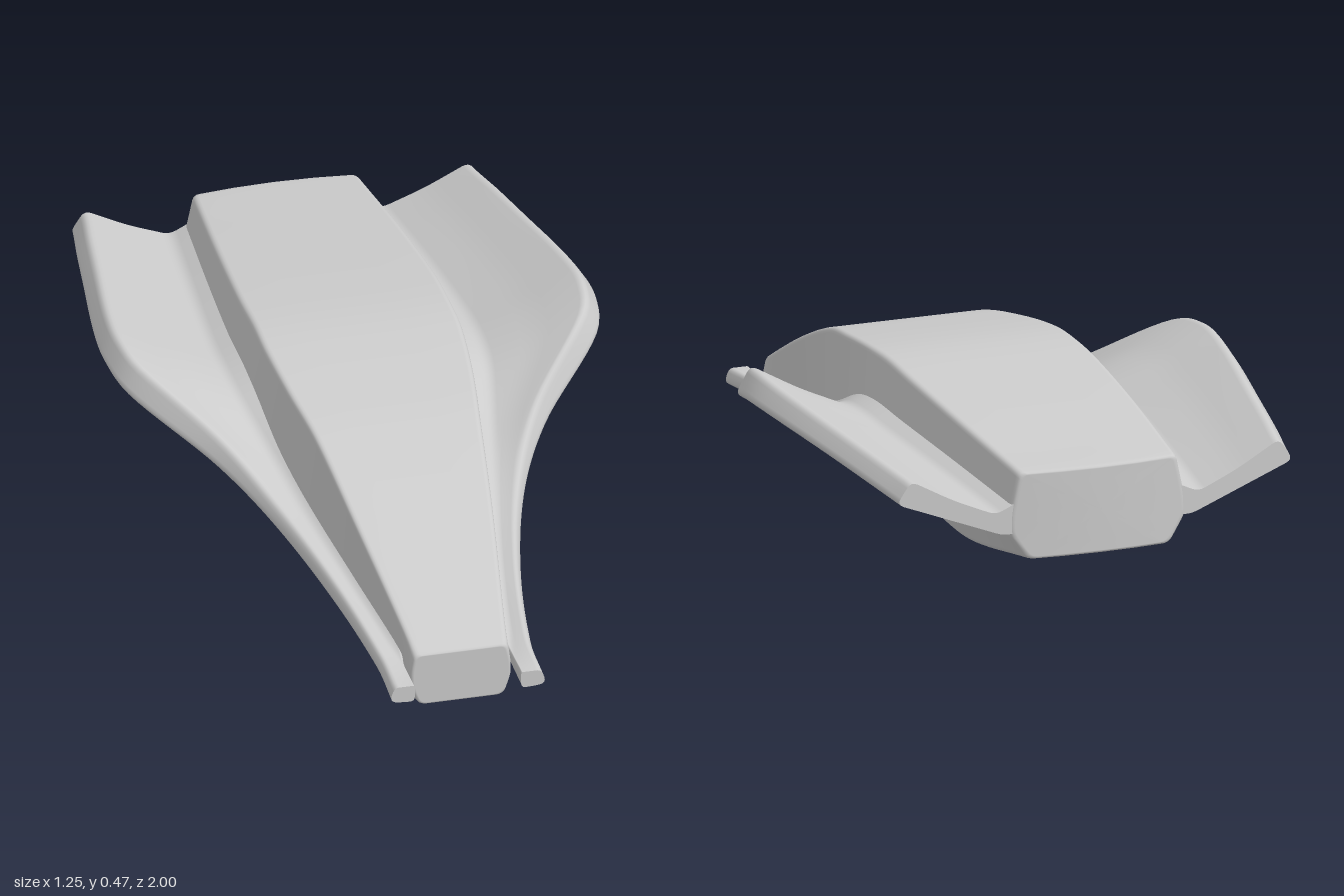
import * as THREE from 'three';

// Stations from nose to tail:
// z, wing outer x, outer top y, outer bottom y, root x, valley y, under-root y,
// body top half width, body top y, body bottom half width, body bottom y
const ROWS = [
  [1.0, 0.2, 0.1, 0.06, 0.135, 0.1, 0.055, 0.108, 0.11, 0.1, -0.01],
  [0.85, 0.202, 0.115, 0.075, 0.138, 0.1, 0.062, 0.13, 0.18, 0.12, 0.012],
  [0.55, 0.25, 0.165, 0.12, 0.185, 0.15, 0.105, 0.175, 0.31, 0.145, 0.058],
  [0.28, 0.33, 0.235, 0.187, 0.235, 0.21, 0.15, 0.21, 0.41, 0.17, 0.1],
  [0.1, 0.43, 0.325, 0.265, 0.265, 0.26, 0.19, 0.235, 0.445, 0.19, 0.128],
  [-0.08, 0.6, 0.45, 0.38, 0.285, 0.32, 0.235, 0.25, 0.468, 0.21, 0.147],
  [-0.2, 0.632, 0.475, 0.408, 0.29, 0.335, 0.25, 0.25, 0.472, 0.22, 0.15],
  [-0.35, 0.625, 0.467, 0.405, 0.288, 0.33, 0.25, 0.25, 0.462, 0.22, 0.145],
  [-0.65, 0.58, 0.432, 0.375, 0.268, 0.31, 0.24, 0.235, 0.43, 0.215, 0.122],
  [-0.98, 0.528, 0.392, 0.335, 0.24, 0.28, 0.23, 0.21, 0.388, 0.19, 0.163],
];

// Smooth interpolation of the station table at a given z
function station(z) {
  const last = ROWS.length - 1;
  let k = 0;
  while (k < last - 1 && z < ROWS[k + 1][0]) k++;
  const h = ROWS[k + 1][0] - ROWS[k][0];
  const t = THREE.MathUtils.clamp((z - ROWS[k][0]) / h, 0, 1);
  const slope = (j, c) => {
    const a = ROWS[Math.max(j - 1, 0)], b = ROWS[Math.min(j + 1, last)];
    return (b[c] - a[c]) / (b[0] - a[0]);
  };
  return ROWS[k].map((v, c) => {
    const w = ROWS[k + 1][c], t2 = t * t, t3 = t2 * t;
    return v * (2 * t3 - 3 * t2 + 1) + w * (3 * t2 - 2 * t3)
      + h * (slope(k, c) * (t3 - 2 * t2 + t) + slope(k + 1, c) * (t3 - t2));
  });
}

// Rounds each corner [x, y, radius] of a closed outline
function rounded(corners) {
  const n = corners.length, out = [];
  corners.forEach(([x, y, r], i) => {
    const p = new THREE.Vector2(x, y);
    const toward = (c) => {
      const d = new THREE.Vector2(c[0], c[1]).sub(p), len = d.length();
      return p.clone().addScaledVector(d, Math.min(r, len * 0.45) / len);
    };
    if (!r) return out.push(p);
    const curve = new THREE.QuadraticBezierCurve(
      toward(corners[(i + n - 1) % n]), p, toward(corners[(i + 1) % n]));
    out.push(...curve.getPoints(4));
  });
  return out;
}

// Skins a list of rings (counter-clockwise, nose to tail) and closes both ends
function loft(rings, side = 1) {
  const n = rings[0].length, pos = [], index = [];
  const add = (p) => pos.push(p.x * side, p.y, p.z);
  const tri = (a, b, c) => (side > 0 ? index.push(a, b, c) : index.push(a, c, b));
  rings.forEach((ring) => ring.forEach(add));
  for (let k = 0; k < rings.length - 1; k++) {
    for (let i = 0; i < n; i++) {
      const a = k * n + i, b = k * n + (i + 1) % n;
      tri(a, a + n, b);
      tri(b, a + n, b + n);
    }
  }
  [rings[0], rings[rings.length - 1]].forEach((ring, end) => {
    const base = pos.length / 3;
    ring.forEach(add);
    const outline = ring.map((p) => new THREE.Vector2(p.x, p.y));
    for (const [a, b, c] of THREE.ShapeUtils.triangulateShape(outline, [])) {
      if (end) tri(base + a, base + c, base + b);
      else tri(base + a, base + b, base + c);
    }
  });
  const geometry = new THREE.BufferGeometry();
  geometry.setAttribute('position', new THREE.Float32BufferAttribute(pos, 3));
  geometry.setIndex(index);
  geometry.computeVertexNormals();
  return geometry;
}

// Central hull section; scale shrinks it to close the ends
function bodyRing(z, scale) {
  const [, , , , root, valley, under, w, top, b, bot] = station(z);
  const rx = root - 0.006;
  const right = [
    [b * 0.5, bot, 0], [b, bot, 0.018], [rx, under, 0.015],
    [rx, valley, 0.03], [w, top, 0.014], [w * 0.5, top, 0],
  ];
  const left = right.map(([x, y, r]) => [-x, y, r]).reverse();
  const mid = (top + bot) / 2;
  const bow = 0.02 * THREE.MathUtils.smoothstep(-z, 0.8, 0.98);
  return rounded([[0, bot, 0], ...right, [0, top, 0], ...left]).map((p) => {
    const x = p.x * scale;
    return new THREE.Vector3(x, mid + (p.y - mid) * scale, z - bow * (1 - (x / 0.24) ** 2));
  });
}

// Wing section, running from inside the hull out to the rolled outer edge
function wingRing(z) {
  const [, out, top, low, root, valley, under] = station(z);
  const inside = 0.06 * (1 - THREE.MathUtils.smoothstep(z, 0.7, 0.9));
  const spread = THREE.MathUtils.smoothstep(out, 0.2, 0.6);
  const edge = out - 0.012 - 0.028 * spread;
  const sag = 0.012 * spread;
  const mixX = (t) => THREE.MathUtils.lerp(root, edge, t);
  const mixY = (t) => THREE.MathUtils.lerp(valley, top, t);
  const tipR = 0.02;
  const shear = 0.06 * THREE.MathUtils.smoothstep(-z, 0.8, 0.98);
  return rounded([
    [root - inside, under + 0.006, tipR], [root + 0.01, under, tipR],
    [out, low, tipR], [edge, top, tipR],
    [mixX(0.55), mixY(0.55) - sag, 0.04], [mixX(0.12), mixY(0.05), 0.02],
    [root - inside, valley + inside * 0.8, tipR],
  ]).map((p) => new THREE.Vector3(p.x, p.y, z + shear * (p.x - 0.24)));
}

export function createModel() {
  const group = new THREE.Group();
  const material = new THREE.MeshStandardMaterial({ color: 0xcccccc });
  const addMesh = (name, geometry) => {
    const mesh = new THREE.Mesh(geometry, material);
    mesh.name = name;
    group.add(mesh);
  };

  // Hull: flat nose, long lofted middle, bowed tail
  const steps = 64, hull = [];
  for (const s of [0.02, 0.5, 0.93, 0.965]) hull.push(bodyRing(0.93, s));
  hull.push(bodyRing(0.926, 0.988));
  for (let i = 0; i <= steps; i++) hull.push(bodyRing(0.915 - (1.88 * i) / steps, 1));
  hull.push(bodyRing(-0.976, 0.99));
  for (const s of [0.97, 0.94, 0.7, 0.45, 0.2, 0.02]) hull.push(bodyRing(-0.98, s));
  addMesh('hull', loft(hull));

  // Swept wings on both sides, each ending in a small prong at the nose
  const wing = [];
  for (let i = 0; i <= 80; i++) wing.push(wingRing(1 - (1.98 * i) / 80));
  addMesh('leftWing', loft(wing, 1));
  addMesh('rightWing', loft(wing, -1));
  return group;
}
